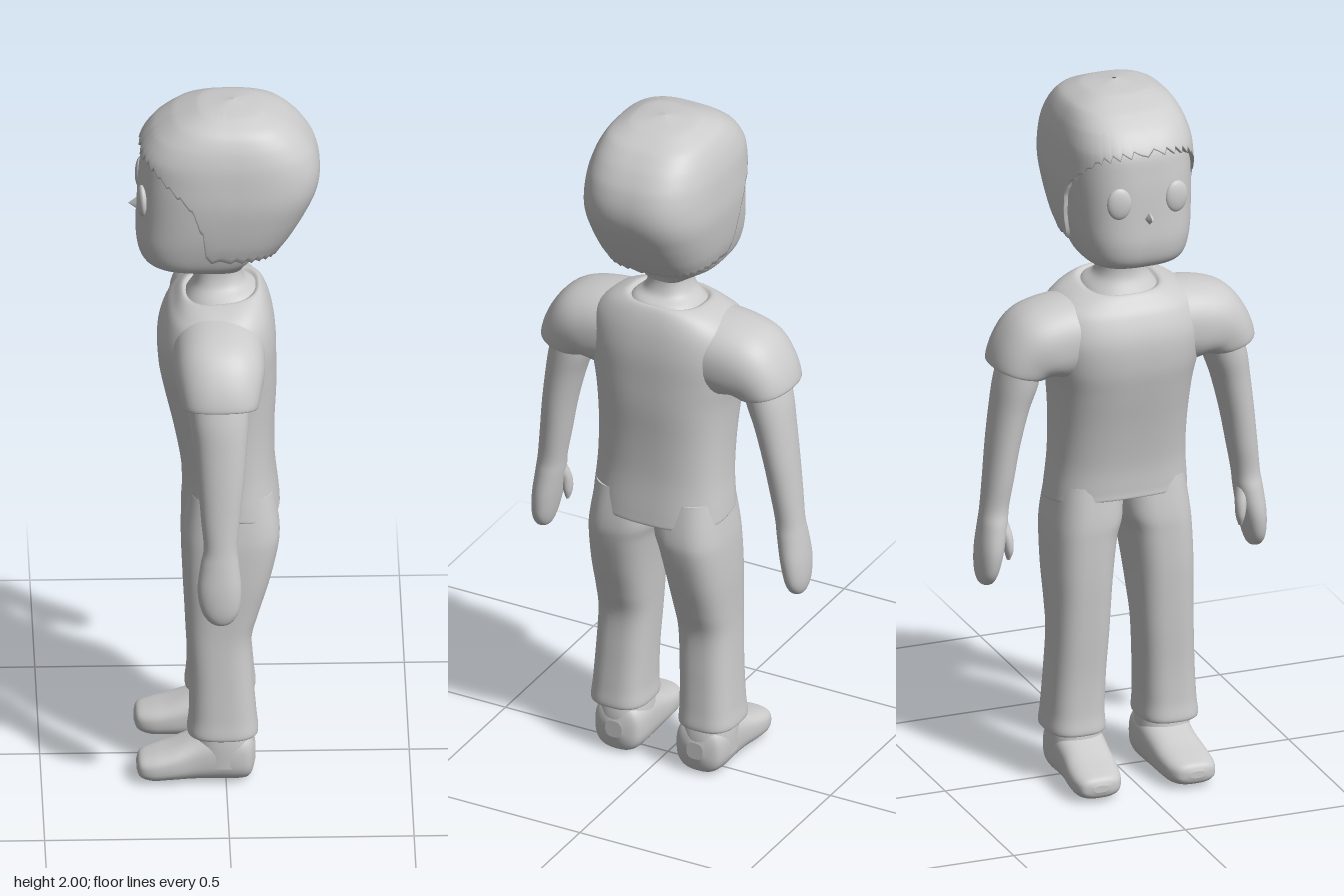
import * as THREE from 'three';

const material = new THREE.MeshStandardMaterial({ color: 0xcccccc, side: THREE.DoubleSide });
const rad = Math.PI / 180;
const power = (v, p) => Math.sign(v) * Math.abs(v) ** p;

// Catmull-Rom blend of rows of numbers
function sampleRows(rows, t) {
  const i = Math.min(Math.floor(t), rows.length - 2), f = t - i;
  const at = (k) => rows[Math.max(0, Math.min(rows.length - 1, k))];
  const [a, b, c, d] = [at(i - 1), at(i), at(i + 1), at(i + 2)];
  return b.map((_, k) => b[k] + 0.5 * f * (c[k] - a[k]
    + f * (2 * a[k] - 5 * b[k] + 4 * c[k] - d[k] + f * (3 * (b[k] - c[k]) + d[k] - a[k]))));
}

// Skin a list of closed point loops; ends are closed by flat caps
function skin(name, loops, capped = true) {
  const n = loops[0].length, pos = loops.flat(2), idx = [];
  for (let r = 0; r < loops.length - 1; r++) for (let j = 0; j < n; j++) {
    const a = r * n + j, b = r * n + (j + 1) % n;
    idx.push(a, b, a + n, b, b + n, a + n);
  }
  if (capped) [loops[0], loops.at(-1)].forEach((loop, end) => {
    const base = pos.length / 3;
    loop.forEach((p) => pos.push(...p));
    pos.push(...[0, 1, 2].map((k) => loop.reduce((s, p) => s + p[k], 0) / n));
    for (let j = 0; j < n; j++) {
      const a = base + j, b = base + (j + 1) % n;
      idx.push(...(end ? [a, b, base + n] : [b, a, base + n]));
    }
  });
  // Turn faces outward
  let volume = 0;
  const P = (i) => new THREE.Vector3().fromArray(pos, i * 3);
  for (let i = 0; i < idx.length; i += 3) volume += P(idx[i]).dot(P(idx[i + 1]).cross(P(idx[i + 2])));
  if (volume < 0) idx.reverse();
  const g = new THREE.BufferGeometry();
  g.setAttribute('position', new THREE.Float32BufferAttribute(pos, 3));
  g.setIndex(idx);
  g.computeVertexNormals();
  const mesh = new THREE.Mesh(g, material);
  mesh.name = name;
  return mesh;
}

// Ring: x, y, z, depth radius, width radius, tilt in degrees, slope along x
function loft(name, rings, { exp = 2.3, seg = 40, steps = 6, side = 1, alongX = false } = {}) {
  const rows = rings.map((r) => [...r, 0, 0].slice(0, 7));
  const loops = [];
  for (let i = 0; i <= (rows.length - 1) * steps; i++) {
    const [x, y, z, ru, rv, tilt, k] = sampleRows(rows, i / steps);
    loops.push(Array.from({ length: seg }, (_, j) => {
      const a = j / seg * Math.PI * 2;
      const u = Math.max(ru, 0) * power(Math.cos(a), 2 / exp), v = Math.max(rv, 0) * power(Math.sin(a), 2 / exp);
      return alongX ? [x, y + u, side * (z + v)]
        : [x + u, y + k * u + v * Math.sin(tilt * rad), side * (z + v * Math.cos(tilt * rad))];
    }));
  }
  return skin(name, loops);
}

// Upright ring from y, front x, back x, half width
const span = (y, x0, x1, w, k = 0) => [(x0 + x1) / 2, y, 0, (x1 - x0) / 2, w, 0, k];
// Upright limb ring from y, x range, z range
const limb = (y, x0, x1, z0, z1) => [(x0 + x1) / 2, y, (z0 + z1) / 2, (x1 - x0) / 2, (z1 - z0) / 2];

function makeHair() {
  const rows = [
    [2.0, 0.015, 0.025, 0.005], [1.988, -0.07, 0.1, 0.085], [1.96, -0.14, 0.165, 0.138], [1.92, -0.195, 0.21, 0.163],
    [1.87, -0.23, 0.243, 0.178], [1.81, -0.237, 0.258, 0.185], [1.75, -0.237, 0.25, 0.188],
    [1.68, -0.24, 0.218, 0.182], [1.62, -0.24, 0.183, 0.172], [1.56, -0.23, 0.145, 0.155],
  ];
  const hem = [[-0.24, 1.875], [-0.2, 1.855], [-0.165, 1.82], [-0.1, 1.76], [-0.05, 1.68], [-0.01, 1.585], [0.3, 1.575]];
  const seg = 160, steps = 44, loops = [];
  const rowAtY = (y) => {
    let i = 0;
    while (i < rows.length - 2 && rows[i + 1][0] > y) i++;
    return sampleRows(rows, i + Math.min(1, (rows[i][0] - y) / (rows[i][0] - rows[i + 1][0])));
  };
  const hemY = (x, j) => {
    let i = 0;
    while (i < hem.length - 2 && hem[i + 1][0] < x) i++;
    const f = Math.max(0, Math.min(1, (x - hem[i][0]) / (hem[i + 1][0] - hem[i][0])));
    return THREE.MathUtils.lerp(hem[i][1], hem[i + 1][1], f) + (x < -0.2 ? 0.012 : 0.007) * ((j % 4) / 2 - 1);
  };
  for (let i = 0; i <= steps + 1; i++) {
    const t = Math.min(1, i / steps), inset = i > steps ? 0.8 : 1;
    loops.push(Array.from({ length: seg }, (_, j) => {
      const a = j / seg * Math.PI * 2, c = power(Math.cos(a), 0.7), s = power(Math.sin(a), 0.7);
      const y = 2 - (2 - hemY(0.008 + 0.245 * c, j)) * t ** 1.5;
      const [, x0, x1, w] = rowAtY(y);
      return [(x0 + x1) / 2 + (x1 - x0) / 2 * c * inset, y, w * s * inset];
    }));
  }
  return skin('hair', loops, false);
}

export function createModel() {
  const model = new THREE.Group();
  model.name = 'standingFigure';

  // Head and neck
  model.add(makeHair());
  model.add(loft('head', [
    span(1.495, -0.09, 0.05, 0.06), span(1.52, -0.17, 0.06, 0.105), span(1.545, -0.222, 0.08, 0.138),
    span(1.6, -0.24, 0.115, 0.157), span(1.68, -0.238, 0.185, 0.17), span(1.8, -0.23, 0.235, 0.175),
    span(1.88, -0.212, 0.215, 0.162), span(1.94, -0.14, 0.15, 0.12), span(1.965, -0.04, 0.05, 0.04),
  ], { exp: 2.8, seg: 64 }));
  model.add(loft('neck', [
    span(1.39, -0.13, 0.1, 0.12, 0.12), span(1.425, -0.105, 0.085, 0.098, 0.1), span(1.455, -0.085, 0.055, 0.068),
    span(1.5, -0.085, 0.045, 0.058), span(1.55, -0.1, 0.06, 0.07),
  ]));
  const nose = new THREE.Mesh(new THREE.ConeGeometry(0.03, 0.05, 4).rotateZ(Math.PI / 2), material);
  nose.name = 'nose';
  nose.position.set(-0.236, 1.685, 0);
  nose.scale.set(1, 1.3, 0.9);
  model.add(nose);

  // Shirt body with sloping hem and neckline
  model.add(loft('shirt', [
    span(0.81, -0.1, 0.13, 0.178, -0.14), span(0.803, -0.114, 0.148, 0.196, -0.14), span(0.83, -0.115, 0.147, 0.196, -0.12),
    span(0.92, -0.12, 0.136, 0.189), span(1.03, -0.14, 0.135, 0.189), span(1.14, -0.165, 0.14, 0.197),
    span(1.22, -0.18, 0.14, 0.212), span(1.3, -0.18, 0.138, 0.222), span(1.365, -0.158, 0.128, 0.21),
    span(1.405, -0.135, 0.112, 0.17, 0.07), span(1.428, -0.115, 0.095, 0.118, 0.1), span(1.422, -0.1, 0.08, 0.1, 0.1),
  ], { exp: 2.6, seg: 64 }));

  for (const side of [1, -1]) {
    const limbs = new THREE.Group();
    limbs.name = side > 0 ? 'positiveSideLimbs' : 'negativeSideLimbs';

    // Short sleeve with a folded-in cuff
    limbs.add(loft('sleeve', [
      [-0.02, 1.3, 0.11, 0.125, 0.11, 88], [-0.02, 1.29, 0.19, 0.125, 0.115, 75], [-0.02, 1.277, 0.243, 0.122, 0.112, 58],
      [-0.02, 1.25, 0.282, 0.113, 0.093, 38], [-0.02, 1.215, 0.307, 0.102, 0.075, 17], [-0.02, 1.222, 0.304, 0.088, 0.062, 17],
    ], { side, seg: 48 }));

    // Arm, hand and thumb
    limbs.add(loft('arm', [
      limb(1.26, -0.1, 0.06, 0.23, 0.34), limb(1.18, -0.098, 0.058, 0.243, 0.362), limb(1.1, -0.088, 0.052, 0.27, 0.374),
      limb(1.0, -0.08, 0.044, 0.295, 0.386), limb(0.9, -0.073, 0.033, 0.313, 0.396), limb(0.82, -0.066, 0.026, 0.327, 0.404),
      limb(0.77, -0.075, 0.03, 0.333, 0.411), limb(0.7, -0.083, 0.036, 0.345, 0.419), limb(0.64, -0.073, 0.03, 0.358, 0.419),
      limb(0.606, -0.05, 0.01, 0.37, 0.411), limb(0.595, -0.025, -0.015, 0.384, 0.396),
    ], { side, exp: 2.1 }));
    limbs.add(loft('thumb', [
      limb(0.785, -0.055, -0.01, 0.335, 0.37), limb(0.74, -0.07, -0.03, 0.325, 0.358),
      limb(0.7, -0.072, -0.038, 0.325, 0.35), limb(0.672, -0.06, -0.048, 0.333, 0.342),
    ], { side, exp: 2, seg: 20 }));

    // Trouser leg with open-looking cuff
    limbs.add(loft('trouserLeg', [
      limb(0.86, -0.1, 0.13, -0.005, 0.184), limb(0.76, -0.113, 0.146, -0.002, 0.198), limb(0.7, -0.115, 0.143, 0.014, 0.203),
      limb(0.6, -0.115, 0.12, 0.028, 0.205), limb(0.5, -0.111, 0.09, 0.037, 0.203), limb(0.42, -0.107, 0.07, 0.043, 0.203),
      limb(0.3, -0.1, 0.075, 0.05, 0.208), limb(0.2, -0.1, 0.083, 0.053, 0.214), limb(0.145, -0.104, 0.087, 0.052, 0.218),
      limb(0.15, -0.08, 0.065, 0.072, 0.195),
    ], { side, exp: 2.7 }));

    // Shoe: foot body plus ankle
    limbs.add(loft('foot', [
      [-0.242, 0.042, 0.14, 0.01, 0.022], [-0.232, 0.042, 0.139, 0.028, 0.052], [-0.2, 0.043, 0.136, 0.039, 0.068],
      [-0.15, 0.051, 0.132, 0.047, 0.073], [-0.09, 0.063, 0.127, 0.06, 0.072], [-0.03, 0.075, 0.125, 0.074, 0.074],
      [0.03, 0.077, 0.125, 0.077, 0.074], [0.065, 0.075, 0.125, 0.066, 0.062], [0.08, 0.075, 0.125, 0.025, 0.025],
    ], { side, alongX: true, exp: 2.7 }));
    limbs.add(loft('ankle', [
      limb(0.05, -0.09, 0.075, 0.052, 0.2), limb(0.12, -0.085, 0.078, 0.055, 0.2), limb(0.2, -0.07, 0.06, 0.065, 0.19),
    ], { side }));

    // Raised oval eye
    const eye = new THREE.Mesh(new THREE.SphereGeometry(1, 28, 18), material);
    eye.name = 'eye';
    eye.scale.set(0.014, 0.045, 0.034);
    eye.position.set(-0.226, 1.735, side * 0.083);
    eye.rotation.y = side * 0.14;
    limbs.add(eye);
    model.add(limbs);
  }
  return model;
}
